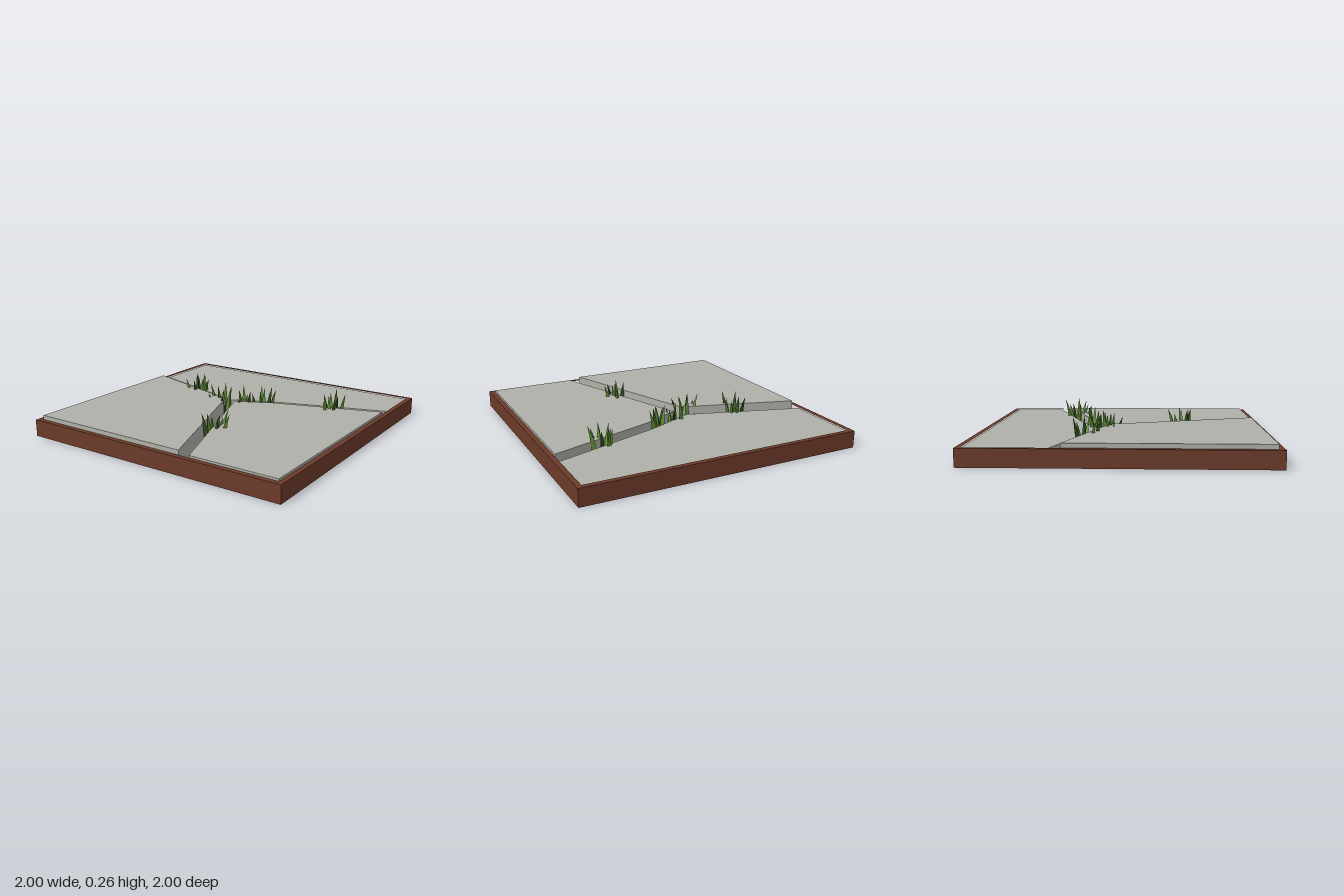
import * as THREE from 'three';

const paint = (color, extra = {}) => new THREE.MeshStandardMaterial({ color, ...extra });

// Upright prism from a plan outline of [x, z] points, between two heights
function prism(name, outline, bottom, top, material, hole) {
  const toV2 = ([x, z]) => new THREE.Vector2(x, -z);
  const shape = new THREE.Shape(outline.map(toV2));
  if (hole) shape.holes.push(new THREE.Path(hole.map(toV2)));
  const geometry = new THREE.ExtrudeGeometry(shape, { depth: top - bottom, bevelEnabled: false });
  geometry.rotateX(-Math.PI / 2).translate(0, bottom, 0);
  const mesh = new THREE.Mesh(geometry, material);
  mesh.name = name;
  return mesh;
}

const square = (r) => [[-r, -r], [r, -r], [r, r], [-r, r]];

// Leaf-shaped three-sided blade that curves outward from its root to its tip
function grassBlade([dx, dz, height], turn, material) {
  const root = 0.01;
  const geometry = new THREE.ConeGeometry(1, 1, 3, 4).translate(0, 0.5, 0).rotateY(turn);
  const p = geometry.attributes.position;
  for (let i = 0; i < p.count; i++) {
    const t = p.getY(i);
    const width = 0.022 * (1 + t); // times the cone's own (1 - t)
    const lean = 0.6 + 0.4 * t * t;
    p.setXYZ(i, p.getX(i) * width + dx * lean, root + t * (height - root), p.getZ(i) * width + dz * lean);
  }
  geometry.computeVertexNormals();
  const mesh = new THREE.Mesh(geometry, material);
  mesh.name = 'grassBlade';
  return mesh;
}

// Tufts: plan position, then blade tips as [dx, dz, height]
const TUFTS = [
  { at: [-0.5, -0.25], tips: [[-0.06, -0.07, 0.23], [0, -0.08, 0.25], [0.05, -0.06, 0.21], [-0.02, 0, 0.26],
    [0.05, 0.02, 0.22], [-0.07, 0.08, 0.23], [0.03, 0.11, 0.24], [0.07, 0, 0.2]] },
  { at: [-0.17, -0.12], tips: [[-0.11, 0.01, 0.24], [-0.1, 0.06, 0.18], [-0.03, 0.03, 0.24], [0, -0.03, 0.26],
    [0.03, 0.05, 0.23], [0.06, 0.11, 0.2], [0.06, -0.02, 0.24]] },
  { at: [-0.03, -0.2], tips: [[-0.05, -0.06, 0.23], [0.02, -0.05, 0.19], [-0.03, 0.03, 0.21], [0.03, 0.01, 0.18],
    [0.01, 0.1, 0.17]] },
  { at: [0.1, -0.24], tips: [[-0.05, 0.06, 0.2], [-0.02, -0.03, 0.25], [0.03, 0.01, 0.24], [0.07, -0.03, 0.25],
    [0.1, -0.04, 0.23], [0.01, 0.04, 0.22]] },
  { at: [0.6, -0.42], tips: [[-0.04, -0.05, 0.22], [-0.01, -0.09, 0.25], [0.03, -0.03, 0.21], [-0.05, 0.04, 0.23],
    [0.01, 0.08, 0.24], [0.06, 0.09, 0.2], [-0.01, 0.13, 0.2], [0.11, 0.01, 0.25]] },
  { at: [0.13, 0.44], tips: [[0.05, -0.12, 0.23], [0.04, -0.07, 0.19], [0.05, -0.02, 0.22], [0.12, -0.03, 0.23],
    [-0.07, 0.03, 0.22], [-0.01, 0.05, 0.24], [0.01, 0.02, 0.21], [0.07, 0.03, 0.22]] },
];

export function createModel() {
  const group = new THREE.Group();
  group.name = 'crackedFloorTile';
  const stone = paint(0xafb0a8);
  const greens = [paint(0x5f8f33, { flatShading: true }), paint(0x34521f, { flatShading: true })];

  // Rim and the soil seen in the cracks, which stops just short of the rim
  group.add(prism('rim', square(1), 0, 0.12, paint(0x6b3a29), square(0.965)));
  const soil = new THREE.Mesh(
    new THREE.PlaneGeometry(1.895, 1.91).rotateX(-Math.PI / 2), paint(0x3d3029, { side: THREE.DoubleSide }));
  soil.name = 'soil';
  soil.position.y = 0.004;
  group.add(soil);

  // Three slabs set at slightly different heights
  const e = 0.962;
  group.add(prism('backSlab',
    [[-e, -e], [e, -e], [e, -0.583], [0.19, -0.33], [-0.15, -0.18], [-e, -0.433]], 0.001, 0.116, stone));
  group.add(prism('frontRightSlab',
    [[-e, -0.355], [-0.14, -0.1], [0.25, e], [-e, e]], 0.001, 0.15, stone));
  group.add(prism('frontLeftSlab',
    [[-0.07, -0.12], [0.19, -0.25], [e, -0.5], [e, e], [0.33, e]], 0.007, 0.133, stone));

  // Grass growing out of the cracks
  TUFTS.forEach(({ at, tips }, k) => {
    const tuft = new THREE.Group();
    tuft.name = 'grassTuft';
    tuft.position.set(at[0], 0, at[1]);
    tips.forEach((tip, i) => tuft.add(grassBlade(tip, i * 2.4 + k, greens[(i + k) % 3 === 0 ? 1 : 0])));
    group.add(tuft);
  });
  return group;
}
